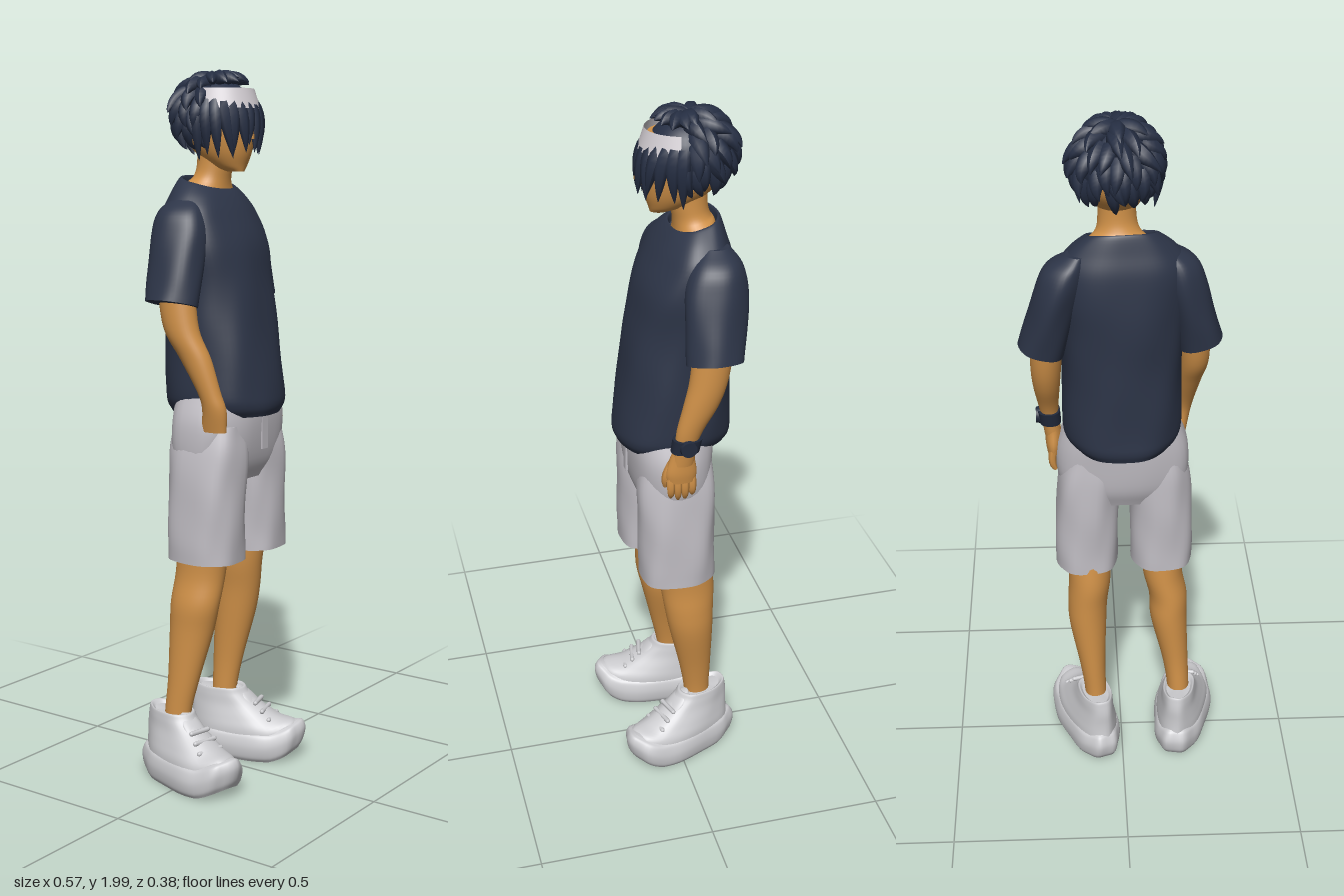
import * as THREE from 'three';
import { mergeGeometries } from 'three/addons/utils/BufferGeometryUtils.js';

const mat = (name, color, side = THREE.FrontSide) => {
  const m = new THREE.MeshStandardMaterial({ color, side });
  m.name = name;
  return m;
};

// Stack of horizontal rings, bottom to top. Row: [y, x, z, rx, rz, tilt]
// warp(v, angle) may move each vertex afterwards.
function loft(rows, { n = 2, seg = 40, steps = 5, ripple = 0, waves = 7, bottom = true, top = true, warp } = {}) {
  const spline = f => new THREE.CatmullRomCurve3(rows.map(f), false, 'catmullrom', 0.5);
  const centre = spline(r => new THREE.Vector3(r[1], r[0], r[2]));
  const size = spline(r => new THREE.Vector3(r[3], r[4], r[5] || 0));
  const count = (rows.length - 1) * steps, pos = [], idx = [];
  const pw = c => Math.sign(c) * Math.abs(c) ** (2 / n);
  for (let i = 0; i <= count; i++) {
    const c = centre.getPoint(i / count), s = size.getPoint(i / count);
    for (let j = 0; j < seg; j++) {
      const a = j / seg * Math.PI * 2;
      const k = 1 + ripple * Math.sin(waves * a + c.y * 14) + ripple * 0.6 * Math.sin(3 * a - c.y * 30);
      const v = new THREE.Vector3(c.x + s.x * k * pw(Math.cos(a)), c.y + s.z * Math.sin(a), c.z + s.y * k * pw(Math.sin(a)));
      if (warp) warp(v, a);
      pos.push(v.x, v.y, v.z);
    }
  }
  for (let i = 0; i < count; i++) for (let j = 0; j < seg; j++) {
    const a = i * seg + j, b = i * seg + (j + 1) % seg;
    idx.push(a, a + seg, b, b, a + seg, b + seg);
  }
  // Caps use their own vertices so the rim stays sharp
  const cap = (row, up) => {
    const start = pos.length / 3, mid = [0, 0, 0];
    for (let j = 0; j < seg; j++) for (let k = 0; k < 3; k++) {
      const q = pos[(row * seg + j) * 3 + k];
      pos.push(q);
      mid[k] += q / seg;
    }
    pos.push(...mid);
    for (let j = 0; j < seg; j++) {
      const a = start + j, b = start + (j + 1) % seg;
      up ? idx.push(a, start + seg, b) : idx.push(a, b, start + seg);
    }
  };
  if (bottom) cap(0, false);
  if (top) cap(count, true);
  const g = new THREE.BufferGeometry();
  g.setAttribute('position', new THREE.Float32BufferAttribute(pos, 3));
  g.setIndex(idx);
  g.computeVertexNormals();
  return g;
}

// Bent strand through three points, narrowing towards its end
function strand(p0, p1, p2, r, end = 0.03, flat = 2) {
  const curve = new THREE.QuadraticBezierCurve3(p0, p1, p2);
  const n = 8, m = 7, g = new THREE.TubeGeometry(curve, n, r, m), p = g.attributes.position;
  const v = new THREE.Vector3();
  for (let i = 0; i <= n; i++) {
    const c = curve.getPointAt(i / n), k = 1 - (1 - end) * (i / n) ** flat;
    for (let j = 0; j <= m; j++) {
      const q = i * (m + 1) + j;
      v.fromBufferAttribute(p, q).sub(c).multiplyScalar(k).add(c);
      p.setXYZ(q, v.x, v.y, v.z);
    }
  }
  g.computeVertexNormals();
  return g;
}

export function createModel() {
  const model = new THREE.Group();
  model.name = 'standingYouth';
  const skin = mat('skin', 0xd09148), navy = mat('shirt navy', 0x2d3548), hairMat = mat('hair navy', 0x262f44);
  const shortsMat = mat('shorts grey', 0xc0bdc3, THREE.DoubleSide), shoeMat = mat('shoe grey', 0xcbcbce);
  const bandMat = mat('headband', 0xd0cbd0, THREE.DoubleSide), watchMat = mat('watch', 0x222a3c);
  const V = (x, y, z) => new THREE.Vector3(x, y, z);
  const add = (name, geo, m, parent = model) => {
    const mesh = new THREE.Mesh(geo, m);
    mesh.name = name;
    parent.add(mesh);
    return mesh;
  };

  // Shirt
  add('shirtBody', loft([
    [1.052, 0, -0.003, 0.135, 0.15], [1.08, 0, -0.003, 0.157, 0.16], [1.13, 0, -0.005, 0.165, 0.158],
    [1.3, 0, -0.017, 0.163, 0.146], [1.42, 0, -0.03, 0.165, 0.138], [1.52, 0, -0.04, 0.178, 0.127],
    [1.6, 0, -0.055, 0.175, 0.104], [1.65, 0.002, -0.06, 0.142, 0.083, -0.008],
    [1.685, 0.005, -0.064, 0.102, 0.066, -0.018], [1.688, 0.006, -0.064, 0.088, 0.058, -0.018],
    [1.665, 0.006, -0.064, 0.084, 0.055, -0.018],
  ], { n: 2.3, seg: 64, ripple: 0.009, top: false }), navy).rotation.y = 0.08;
  for (const [s, dx, dz] of [[-1, 0, 0], [1, 0.004, -0.04]]) {
    add(s < 0 ? 'rightSleeve' : 'leftSleeve', loft([
      [1.365, 0.212, -0.03, 0.062, 0.076], [1.45, 0.19, -0.036, 0.062, 0.082], [1.55, 0.162, -0.044, 0.063, 0.084],
      [1.61, 0.143, -0.05, 0.056, 0.068], [1.648, 0.115, -0.055, 0.028, 0.036],
    ].map(([y, x, z, a, b]) => [y, s * (x + dx), z + dz, a, b]), {
      ripple: 0.02, waves: 5, warp: v => { v.y += Math.max(0, (1.5 - v.y) / 0.135) * (Math.abs(v.x) - 0.215) * 0.25; },
    }), navy);
  }

  // Arms: the right goes into the pocket, the left hangs
  add('rightArm', loft([
    [1.02, -0.165, 0.075, 0.022, 0.04], [1.08, -0.172, 0.082, 0.027, 0.036], [1.13, -0.18, 0.07, 0.028, 0.034],
    [1.22, -0.19, 0.032, 0.036, 0.046], [1.3, -0.2, -0.008, 0.041, 0.052], [1.42, -0.195, -0.03, 0.045, 0.055],
  ]), skin);
  add('leftArm', loft([
    [1.06, 0.19, 0.012, 0.024, 0.033], [1.12, 0.198, 0.004, 0.024, 0.031], [1.17, 0.202, -0.008, 0.029, 0.037],
    [1.24, 0.205, -0.036, 0.037, 0.048], [1.31, 0.205, -0.056, 0.042, 0.052], [1.42, 0.2, -0.072, 0.046, 0.055],
  ]), skin);
  const hand = [loft([
    [1.005, 0.19, 0.014, 0.018, 0.04], [1.035, 0.19, 0.014, 0.022, 0.043], [1.075, 0.191, 0.012, 0.022, 0.035], [1.1, 0.194, 0.008, 0.022, 0.03],
  ], { seg: 20 })];
  for (let i = 0; i < 4; i++) {
    const z = -0.016 + i * 0.02;
    hand.push(strand(V(0.19, 1.02, z), V(0.2, 0.975, z), V(0.184, 0.945 + 0.008 * (i - 1.6) ** 2 * 0.6, z - 0.002), 0.0115, 0.45, 4));
  }
  hand.push(strand(V(0.185, 1.065, 0.035), V(0.182, 1.02, 0.062), V(0.176, 0.985, 0.055), 0.013, 0.45, 4));
  hand.forEach(g => g.deleteAttribute('uv'));
  add('leftHand', mergeGeometries(hand), skin);

  // Watch
  add('watchStrap', loft([[1.103, 0.197, 0.006, 0.03, 0.039], [1.142, 0.201, 0, 0.031, 0.04]], { n: 2.4 }), watchMat);
  const face = add('watchFace', new THREE.CylinderGeometry(0.022, 0.024, 0.012, 24), watchMat);
  face.position.set(0.231, 1.123, 0.004);
  face.rotation.z = -Math.PI / 2;

  // Shorts, with a dark lining just above each hem
  add('shortsWaist', loft([
    [0.87, -0.006, 0.006, 0.15, 0.085], [0.93, -0.006, 0.006, 0.183, 0.108], [1.03, -0.005, 0.007, 0.186, 0.119], [1.12, -0.003, 0.003, 0.155, 0.118],
  ], { n: 2.5, ripple: 0.008 }), shortsMat);
  for (const [side, x, z] of [['right', -0.118, 0.015], ['left', 0.1, 0.004]]) {
    const s = Math.sign(x);
    add(side + 'ShortsLeg', loft([
      [0.648, x, z, 0.09, 0.106], [0.72, x, z, 0.091, 0.106], [0.85, x - s * 0.004, z, 0.09, 0.109],
      [0.95, x - s * 0.011, z, 0.086, 0.11], [1.03, x - s * 0.02, z, 0.075, 0.1],
    ], { n: 2.5, ripple: 0.018, waves: 6, bottom: false }), shortsMat);
    add(side + 'ShortsLining', loft([[0.654, x, z, 0.085, 0.1], [0.662, x, z, 0.085, 0.1]], { n: 2.5, steps: 1 }), navy);
  }
  const fly = add('flyFlap', new THREE.BoxGeometry(0.026, 0.11, 0.006), shortsMat);
  fly.position.set(0.004, 1.01, 0.126);

  // Legs
  add('rightLeg', loft([
    [0.12, -0.172, -0.05, 0.034, 0.042], [0.2, -0.172, -0.047, 0.033, 0.04], [0.3, -0.162, -0.034, 0.039, 0.048],
    [0.44, -0.142, -0.02, 0.054, 0.067], [0.52, -0.139, -0.01, 0.056, 0.075], [0.6, -0.122, -0.004, 0.058, 0.076], [0.7, -0.118, 0.006, 0.061, 0.078],
  ]), skin);
  add('leftLeg', loft([
    [0.12, 0.08, -0.07, 0.034, 0.04], [0.2, 0.08, -0.066, 0.032, 0.038], [0.3, 0.088, -0.058, 0.038, 0.047],
    [0.44, 0.1, -0.042, 0.054, 0.064], [0.52, 0.1, -0.035, 0.058, 0.072], [0.6, 0.093, -0.03, 0.061, 0.079], [0.7, 0.095, -0.016, 0.063, 0.08],
  ]), skin);

  // Chunky shoes with raised toes
  const shape = v => {
    v.x *= 1 + 0.9 * THREE.MathUtils.clamp(v.z, -0.16, 0.1);
    v.y += 1.6 * Math.max(0, v.z - 0.09) ** 1.5 + 0.8 * Math.max(0, -v.z - 0.11) ** 1.5;
  };
  for (const [side, x, z, turn] of [['right', -0.188, 0.006, -0.2], ['left', 0.103, -0.008, 0.3]]) {
    const shoe = new THREE.Group();
    shoe.name = side + 'Shoe';
    shoe.position.set(x, 0, z);
    shoe.rotation.y = turn;
    model.add(shoe);
    add('sole', loft([
      [0.005, 0, 0, 0.073, 0.165], [0.02, 0, 0, 0.081, 0.176], [0.05, 0, 0, 0.084, 0.181], [0.078, 0, 0, 0.078, 0.172], [0.09, 0, -0.002, 0.068, 0.16],
    ], { n: 2.4, seg: 56, ripple: 0.018, waves: 9, warp: shape }), shoeMat, shoe);
    add('upper', loft([
      [0.06, 0, 0, 0.075, 0.168], [0.095, 0, -0.006, 0.074, 0.158], [0.125, 0, -0.028, 0.066, 0.134],
      [0.16, 0, -0.055, 0.056, 0.106], [0.19, 0, -0.072, 0.052, 0.084], [0.208, 0, -0.076, 0.048, 0.074], [0.2, 0, -0.076, 0.038, 0.06],
    ], { n: 2.2, ripple: 0.012, warp: shape }), shoeMat, shoe);
    const tongue = add('tongue', new THREE.SphereGeometry(0.034, 20, 14), shoeMat, shoe);
    tongue.scale.set(1, 0.4, 1.9);
    tongue.position.set(0, 0.166, 0.02);
    tongue.rotation.x = 0.75;
    for (let i = 0; i < 3; i++) {
      const lace = add('lace', new THREE.CapsuleGeometry(0.007, 0.06 + 0.01 * i, 4, 8), shoeMat, shoe);
      lace.rotation.z = Math.PI / 2;
      lace.position.set(0, 0.168 - i * 0.022, 0.042 + i * 0.022);
    }
  }

  // Neck and head
  add('neck', loft([
    [1.62, 0.006, -0.066, 0.1, 0.07], [1.672, 0.008, -0.064, 0.084, 0.056, -0.015], [1.7, 0.01, -0.058, 0.058, 0.05, -0.006],
    [1.74, 0.012, -0.05, 0.05, 0.05], [1.82, 0.012, -0.045, 0.05, 0.055],
  ]), skin);
  const head = new THREE.Group();
  head.name = 'head';
  head.position.set(0.012, 0, -0.035);
  head.rotation.y = -0.12;
  model.add(head);
  add('face', loft([
    [1.718, 0, 0.062, 0.02, 0.025], [1.735, 0, 0.04, 0.042, 0.052], [1.77, 0, 0.016, 0.064, 0.088], [1.82, 0, 0, 0.078, 0.112],
    [1.88, 0, -0.004, 0.084, 0.112], [1.93, 0, -0.004, 0.07, 0.095],
  ]), skin, head);
  add('nose', strand(V(0, 1.85, 0.1), V(0, 1.825, 0.118), V(0, 1.805, 0.12), 0.011, 0.7), skin, head);
  for (const s of [-1, 1]) {
    const ear = add('ear', new THREE.SphereGeometry(0.026, 16, 12), skin, head);
    ear.scale.set(0.4, 1.15, 0.75);
    ear.position.set(s * 0.08, 1.815, -0.01);
  }

  // Hair cap plus rows of pointed locks sweeping from the crown
  let seed = 11;
  const rnd = () => (seed = (seed * 16807) % 2147483647) / 2147483647;
  const at = (a, phi, k) => V(0.1 * k * Math.sin(phi) * Math.sin(a), 1.875 + 0.096 * k * Math.cos(phi), -0.012 + 0.11 * k * Math.sin(phi) * Math.cos(a));
  const cap = new THREE.SphereGeometry(1, 32, 20).scale(0.1, 0.096, 0.11).translate(0, 1.875, -0.012);
  const locks = [cap];
  const rings = [[0.1, 6], [0.45, 10], [0.85, 13], [1.2, 15], [1.55, 15], [1.85, 14]];
  rings.forEach(([phi, n], row) => {
    for (let i = 0; i < n; i++) {
      let a = (i + rnd() * 0.6 + row * 0.5) / n * Math.PI * 2;
      a = a > Math.PI ? a - 2 * Math.PI : a;
      const front = Math.abs(a) < 1.3, k = 1.2 + rnd() * 0.16, swirl = (rnd() - 0.3) * 0.45;
      if (front && row > 0) continue;
      locks.push(strand(at(a, phi, 0.9), at(a + swirl * 0.3, phi + 0.35, 1.24), at(a + swirl, phi + 0.55 + rnd() * 0.2, k), 0.026 - row * 0.0008));
    }
  });
  // Fringe below the band and a few tufts above it
  for (let i = 0; i < 13; i++) {
    const a = -1.35 + i * 0.225, low = 1.785 - 0.022 * Math.abs(Math.sin(a)) + (rnd() - 0.5) * 0.028 - (a < -0.2 ? 0.012 : 0);
    const q = a + (rnd() - 0.5) * 0.25;
    locks.push(strand(at(a, 1.3, 0.97), at(a, 1.65, 1.2), V(0.098 * Math.sin(q), low, 0.128 * Math.cos(q) - 0.008), 0.021));
  }
  for (let i = 0; i < 7; i++) {
    const a = -1.2 + i * 0.4;
    locks.push(strand(at(a, 0.3, 0.95), at(a + 0.1, 0.5, 1.22), at(a + 0.25, 0.72 + rnd() * 0.12, 1.24), 0.024));
  }
  add('hair', mergeGeometries(locks), hairMat, head);

  // Headband across the front
  const band = add('headband', new THREE.CylinderGeometry(0.092, 0.108, 0.054, 40, 1, true, -1.35, 2.7), bandMat, head);
  band.scale.set(1.03, 1, 1.15);
  band.position.set(0, 1.915, -0.006);
  return model;
}
